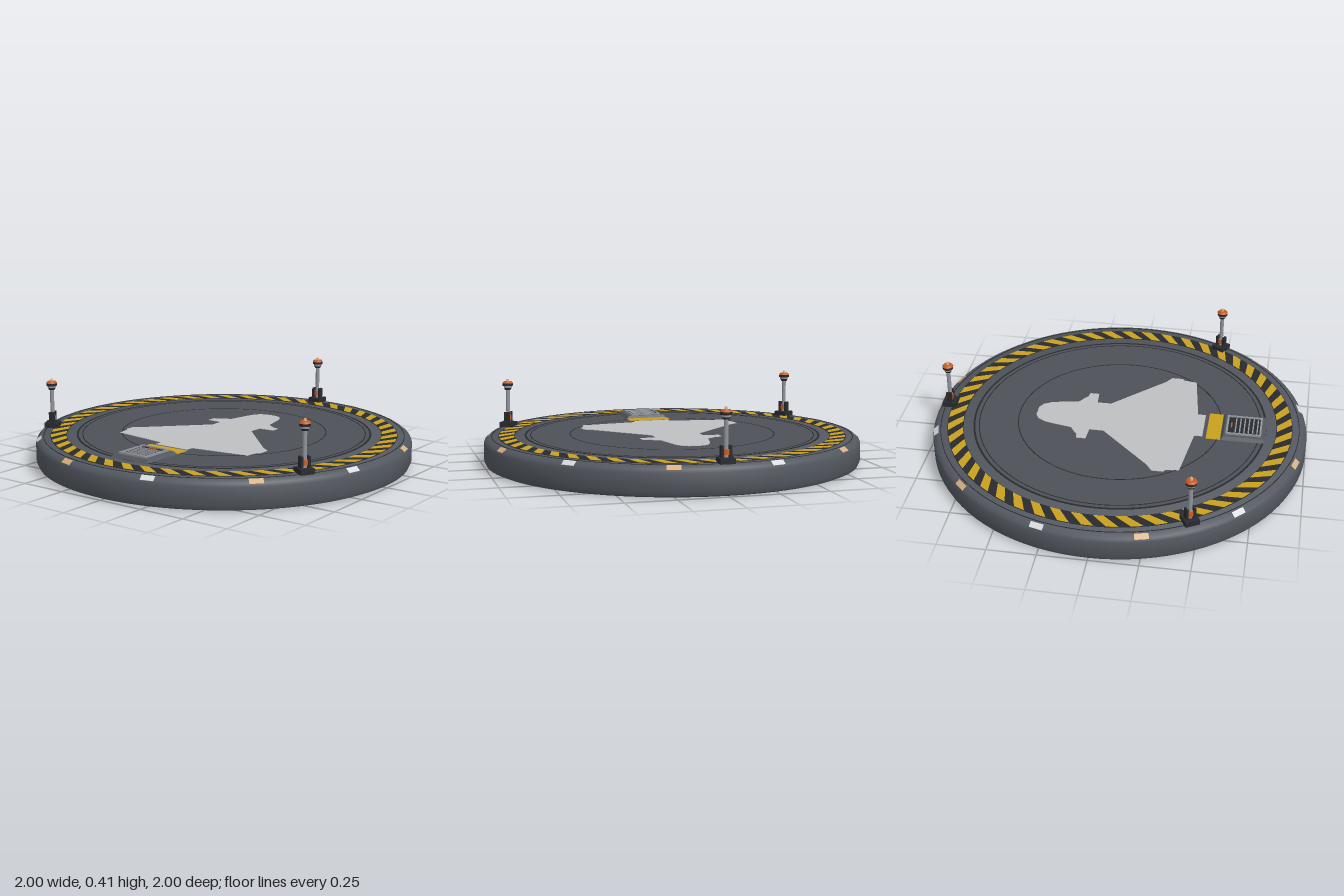
import * as THREE from 'three';
import { toCreasedNormals } from 'three/addons/utils/BufferGeometryUtils.js';

const paint = (name, color) => {
  const m = new THREE.MeshStandardMaterial({ color });
  m.name = name;
  return m;
};
const TOP = 0.15; // deck height

export function createModel() {
  const hull = paint('hull grey', 0x535860);
  const deck = paint('deck grey', 0x4f5159);
  const dark = paint('dark metal', 0x292a2f);
  const yellow = paint('hazard yellow', 0xc9a020);
  const light = paint('marking grey', 0xbfc0c1);
  const steel = paint('steel', 0x91959c);
  const orange = paint('beacon orange', 0xc85a20);
  const white = paint('white lamp', 0xd8dce0);
  const amber = paint('amber lamp', 0xd8b080);

  const model = new THREE.Group();
  model.name = 'landingPad';

  const add = (parent, name, geo, mat, x = 0, y = 0, z = 0) => {
    const m = new THREE.Mesh(geo, mat);
    m.name = name;
    m.position.set(x, y, z);
    parent.add(m);
    return m;
  };
  const box = (parent, name, w, h, d, mat, x, y, z) =>
    add(parent, name, new THREE.BoxGeometry(w, h, d), mat, x, y, z);
  const cyl = (parent, name, r1, r2, h, mat, y, n = 16) =>
    add(parent, name, new THREE.CylinderGeometry(r1, r2, h, n), mat, 0, y, 0);
  // Flat markings lying on the deck; shape y points to the back
  const plate = (name, shapes, mat, top) => {
    const geo = new THREE.ExtrudeGeometry(shapes, { depth: 0.003, bevelEnabled: false, curveSegments: 64 });
    geo.rotateX(-Math.PI / 2);
    return add(model, name, geo, mat, 0, top - 0.003, 0);
  };
  const ring = (inner, outer) => {
    const s = new THREE.Shape().absarc(0, 0, outer, 0, Math.PI * 2, false);
    s.holes.push(new THREE.Path().absarc(0, 0, inner, 0, Math.PI * 2, true));
    return s;
  };

  // Main disc with chamfered rim
  const profile = [[0, 0], [0.972, 0], [0.99, 0.008], [1, 0.03], [1, 0.118], [0.993, 0.135], [0.972, TOP], [0, TOP]]
    .map(([x, y]) => new THREE.Vector2(x, y));
  add(model, 'padBody', toCreasedNormals(new THREE.LatheGeometry(profile, 96), 0.65), hull);

  // Inner deck and seams
  plate('innerDeck', new THREE.Shape().absarc(0, 0, 0.78, 0, Math.PI * 2, false), deck, TOP + 0.001);
  [[0.543, 0.548], [0.752, 0.757], [0.776, 0.786], [0.957, 0.961]].forEach(([a, b]) =>
    plate('seamRing', ring(a, b), dark, TOP + 0.002));

  // Hazard ring with slanted stripes
  plate('hazardRing', ring(0.838, 0.924), dark, TOP + 0.002);
  const count = 48, step = (Math.PI * 2) / count;
  const polar = (r, a) => new THREE.Vector2(r * Math.cos(a), r * Math.sin(a));
  const stripes = [];
  for (let i = 0; i < count; i++) {
    const a = i * step, b = a + step * 0.5, skew = step * 0.65;
    stripes.push(new THREE.Shape([
      polar(0.841, a), polar(0.921, a + skew), polar(0.921, b + skew), polar(0.841, b),
    ]));
  }
  plate('hazardStripes', stripes, yellow, TOP + 0.0035);

  // Painted craft silhouette, mirrored about x = 0
  const half = [[0.035, -0.452], [0.068, -0.435], [0.092, -0.395], [0.106, -0.34], [0.125, -0.245],
    [0.165, -0.22], [0.182, -0.205], [0.215, -0.2], [0.215, -0.15], [0.13, -0.145], [0.13, -0.07],
    [0.395, 0.2], [0.44, 0.23], [0.44, 0.29], [0.425, 0.3], [0.415, 0.37], [0.1, 0.412],
    [0.1, 0.432], [0.06, 0.435], [0.055, 0.455], [0.1, 0.455]].filter(p => p[0] !== 0.06 && p[0] !== 0.055);
  const outline = [...half, ...half.slice().reverse().map(([x, z]) => [-x, z])];
  plate('craftMarking', new THREE.Shape(outline.map(([x, z]) => new THREE.Vector2(x, -z))), light, TOP + 0.0035);

  // Service hatch with grille
  box(model, 'hatchStripe', 0.234, 0.006, 0.075, yellow, 0, TOP + 0.002, 0.512);
  const hatch = new THREE.Group();
  hatch.name = 'serviceHatch';
  hatch.position.set(0, TOP, 0.668);
  model.add(hatch);
  const base = new THREE.BoxGeometry(0.234, 0.018, 0.236);
  const pos = base.attributes.position;
  for (let i = 0; i < pos.count; i++) {
    if (pos.getY(i) > 0) {
      pos.setX(i, pos.getX(i) * 0.88);
      pos.setZ(i, pos.getZ(i) * 0.88);
    }
  }
  base.computeVertexNormals();
  add(hatch, 'hatchBase', base, hull, 0, 0.009, 0);
  box(hatch, 'grilleBack', 0.165, 0.004, 0.185, dark, 0, 0.019, 0);
  for (const s of [-1, 1]) {
    box(hatch, 'grilleFrameSide', 0.01, 0.009, 0.185, steel, s * 0.08, 0.0225, 0);
    box(hatch, 'grilleFrameEnd', 0.17, 0.009, 0.01, steel, 0, 0.0225, s * 0.0885);
  }
  for (let i = 0; i < 6; i++) box(hatch, 'grilleSlat', 0.13, 0.006, 0.007, steel, 0, 0.023, -0.044 + i * 0.023);
  box(hatch, 'grilleIndicator', 0.045, 0.006, 0.007, orange, 0, 0.023, -0.067);

  // Edge lamps, alternating colours around the chamfer
  for (let i = 0; i < 12; i++) {
    const pivot = new THREE.Group();
    pivot.name = 'edgeLamp';
    pivot.rotation.y = Math.PI / 12 + (i * Math.PI) / 6;
    model.add(pivot);
    const lamp = box(pivot, 'edgeLampLens', 0.07, 0.008, 0.03, i % 2 ? amber : white, 0, 0.139, 0.982);
    lamp.rotation.x = 0.68;
  }

  // Three beacon posts
  for (let i = 0; i < 3; i++) {
    const a = Math.PI + (i * Math.PI * 2) / 3;
    const post = new THREE.Group();
    post.name = 'beacon';
    post.position.set(Math.sin(a) * 0.938, TOP, Math.cos(a) * 0.938);
    post.rotation.y = a;
    model.add(post);
    box(post, 'beaconBase', 0.075, 0.027, 0.075, dark, 0, 0.0125, 0);
    for (const s of [-1, 1]) box(post, 'beaconBracket', 0.012, 0.058, 0.03, dark, s * 0.02, 0.053, 0);
    cyl(post, 'beaconCollar', 0.016, 0.018, 0.025, orange, 0.052);
    cyl(post, 'beaconPole', 0.011, 0.011, 0.19, steel, 0.118);
    cyl(post, 'lampSocket', 0.022, 0.016, 0.014, dark, 0.212);
    cyl(post, 'lampLens', 0.022, 0.022, 0.012, steel, 0.222);
    cyl(post, 'lampBand', 0.028, 0.028, 0.014, dark, 0.234);
    cyl(post, 'lampCap', 0.022, 0.03, 0.01, orange, 0.246);
    cyl(post, 'lampKnob', 0.006, 0.009, 0.014, amber, 0.257, 10);
  }
  return model;
}
